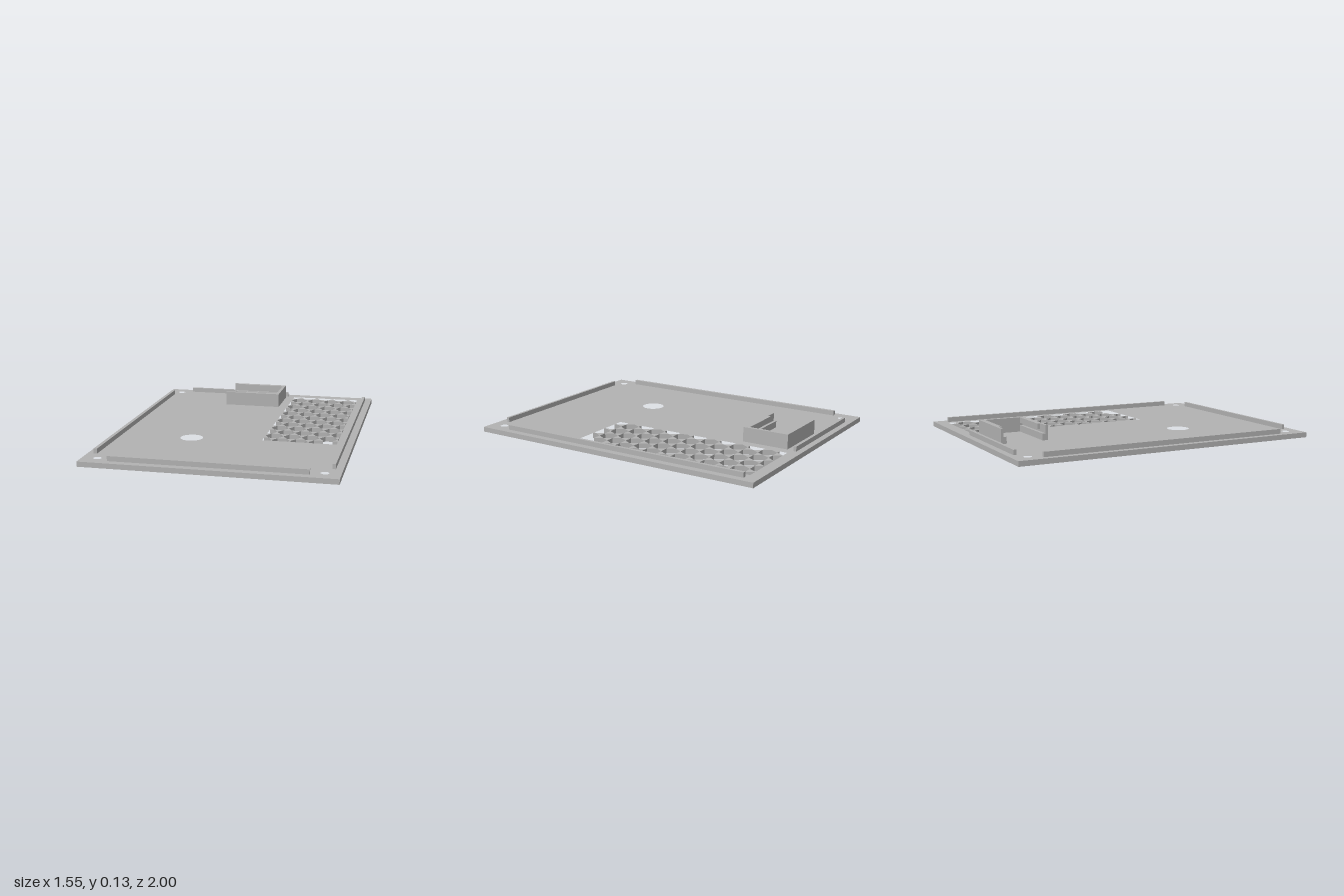
import * as THREE from 'three';

const PLATE = 0.032, RIB = 0.063, TOP = 0.126;

// Outline drawn in x and z, extruded upward from y = 0
function slab(shapes, height) {
  const g = new THREE.ExtrudeGeometry(shapes, { depth: height, bevelEnabled: false, curveSegments: 20 });
  return g.rotateX(-Math.PI / 2);
}

function outline(points, Type = THREE.Shape) {
  return new Type(points.map(([x, z]) => new THREE.Vector2(x, -z)));
}

const rect = (x0, x1, z0, z1) => [[x0, z0], [x1, z0], [x1, z1], [x0, z1]];

export function createModel() {
  const model = new THREE.Group();
  const grey = new THREE.MeshStandardMaterial({ color: 0xb2b2b2 });
  grey.name = 'grey plastic';

  const add = (name, geometry, parent = model) => {
    const mesh = new THREE.Mesh(geometry, grey);
    mesh.name = name;
    parent.add(mesh);
    return mesh;
  };
  const block = (name, x0, x1, y0, y1, z0, z1, parent) => {
    const mesh = add(name, new THREE.BoxGeometry(x1 - x0, y1 - y0, z1 - z0), parent);
    mesh.position.set((x0 + x1) / 2, (y0 + y1) / 2, (z0 + z1) / 2);
  };

  // Base plate with screw holes, round opening and vent window
  const vent = { x0: 0.198, x1: 0.672, z0: -0.925, z1: 0.31 };
  const plate = outline(rect(-0.775, 0.775, -1, 1));
  for (const [x, z, r] of [[-0.68, -0.905, 0.025], [-0.68, 0.905, 0.025], [0.68, 0.905, 0.025], [-0.254, 0.347, 0.073]]) {
    const hole = new THREE.Path();
    hole.absarc(x, -z, r, 0, Math.PI * 2, true);
    plate.holes.push(hole);
  }
  plate.holes.push(outline(rect(vent.x0, vent.x1, vent.z0, vent.z1), THREE.Path));
  add('basePlate', slab(plate, PLATE));

  // Vent grille: triangles that leave rows of touching hexagonal holes
  const rowPitch = 0.1014, pitch = rowPitch * 2 / Math.sqrt(3);
  const clampX = x => Math.min(vent.x1, Math.max(vent.x0, x));
  const triangles = [];
  for (let row = 0; row <= 12; row++) {
    const zc = vent.z0 + row * rowPitch;
    const even = row % 2 === 0;
    const count = row === 12 ? 3 : even ? 4 : 5;
    for (let i = 0; i < count; i++) {
      const x = vent.x0 + (i + (even ? 0.5 : 0)) * pitch;
      for (const side of [-1, 1]) {
        if (row === 0 && side < 0) continue;
        const depth = side > 0 ? Math.min(rowPitch / 2, vent.z1 - zc) : rowPitch / 2;
        const half = depth / Math.sqrt(3);
        const zb = zc + side * depth;
        triangles.push(outline([[x, zc], [clampX(x - half), zb], [clampX(x + half), zb]]));
      }
    }
  }
  add('ventGrille', slab(triangles, PLATE));

  // Locating ribs along the four edges
  block('leftRib', 0.71, 0.731, PLATE, RIB, -0.915, 0.82);
  block('rightRib', -0.737, -0.715, PLATE, RIB, -0.83, 0.82);
  block('backRib', -0.603, 0.148, PLATE, RIB, -0.96, -0.942);
  block('frontRib', -0.603, 0.6, PLATE, RIB, 0.935, 0.953);

  // U-shaped board holder; slots run inside both arms and open upward at the tips
  const holder = new THREE.Group();
  holder.name = 'boardHolder';
  model.add(holder);
  block('holderEnd', 0.117, 0.138, PLATE, TOP, -0.897, -0.59, holder);
  for (const side of [-1, 1]) {
    const zMid = -0.7435;
    const arm = (name, x0, y0, y1, d0, d1) => {
      const a = zMid + side * d0, b = zMid + side * d1;
      block(name, x0, 0.117, y0, y1, Math.min(a, b), Math.max(a, b), holder);
    };
    arm('armWall', -0.25, PLATE, TOP, 0.137, 0.1535);
    arm('armLedge', -0.25, PLATE, 0.075, 0.118, 0.137);
    arm('armLip', -0.17, 0.09, TOP, 0.118, 0.137);
  }
  return model;
}
